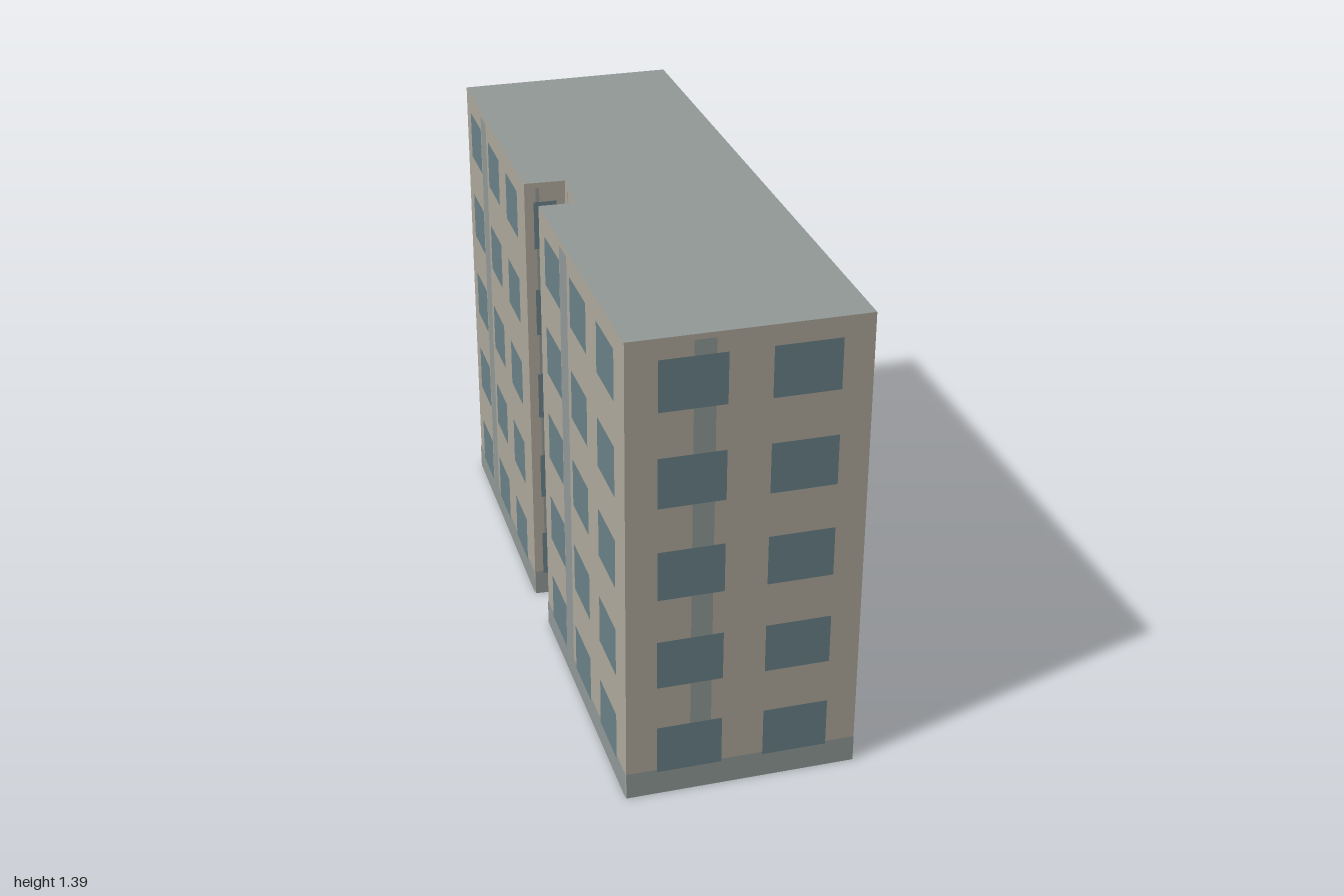
import * as THREE from 'three';

const HEIGHT = 1.39;
const BASE_H = 0.08;
const FLOORS = 5;
const FLOOR_PITCH = 0.278;

const wallMat = new THREE.MeshStandardMaterial({ color: 0xb0aa9e, side: THREE.DoubleSide });
const trimMat = new THREE.MeshStandardMaterial({ color: 0x929a98 });
const roofMat = new THREE.MeshStandardMaterial({ color: 0x929a98, side: THREE.DoubleSide });
const glassMat = new THREE.MeshStandardMaterial({ color: 0x6a8288 });

// Footprint corners (x, z); each wall runs from one corner to the next,
// with its window centres, window width and strip width as fractions of its length
const WALLS = [
  { from: [-0.755, -0.685], name: 'frontWallLeftBay', windows: [0.185, 0.5, 0.805], width: 0.185, strip: 0.09 },
  { from: [-0.347, 0.065], name: 'notchWallRear', windows: [0.5], width: 0.57, strip: 0.09 },
  { from: [-0.24, 0.013], name: 'notchWallInner', windows: [0.5], width: 0.57, strip: 0.09 },
  { from: [-0.167, 0.165], name: 'notchWallFront', windows: [0.5], width: 0.57, strip: 0.09 },
  { from: [-0.262, 0.213], name: 'frontWallRightBay', windows: [0.185, 0.5, 0.81], width: 0.19, strip: 0.09 },
  { from: [0.175, 0.997], name: 'endWallFront', windows: [0.27, 0.73], width: 0.28, strip: 0.09 },
  { from: [0.752, 0.682], name: 'longWall', windows: [0.177, 0.5, 0.823], width: 0.2, strip: 0.056 },
  { from: [-0.18, -1.0], name: 'endWallBack', windows: [0.27, 0.73], width: 0.28, strip: 0.09 },
];

// Flat panel centred at (x, y), lifted off the wall by depth
function panel(name, w, h, x, y, depth, material) {
  const mesh = new THREE.Mesh(new THREE.PlaneGeometry(w, h), material);
  mesh.name = name;
  mesh.position.set(x, y, depth);
  return mesh;
}

// One facade: local x runs along the wall, local z points outward
function buildWall(spec, to) {
  const dx = to[0] - spec.from[0], dz = to[1] - spec.from[1];
  const len = Math.hypot(dx, dz);
  const wall = new THREE.Group();
  wall.name = spec.name;
  wall.position.set(spec.from[0], 0, spec.from[1]);
  wall.rotation.y = Math.atan2(-dz, dx);

  wall.add(panel('wallSurface', len, HEIGHT, len / 2, HEIGHT / 2, 0, wallMat));
  wall.add(panel('baseBand', len, BASE_H, len / 2, BASE_H / 2, 0.002, trimMat));
  const stripH = 1.375 - BASE_H;
  wall.add(panel('verticalStrip', spec.strip * len, stripH, 0.318 * len, BASE_H + stripH / 2, 0.002, trimMat));

  for (let floor = 0; floor < FLOORS; floor++) {
    for (const c of spec.windows) {
      wall.add(panel('window', spec.width * len, 0.147, c * len, 0.147 + floor * FLOOR_PITCH, 0.004, glassMat));
    }
  }
  return wall;
}

export function createModel() {
  const building = new THREE.Group();
  building.name = 'apartmentBlock';

  WALLS.forEach((spec, i) => building.add(buildWall(spec, WALLS[(i + 1) % WALLS.length].from)));

  // Flat roof over the notched footprint; the underside of the shell is open
  const outline = new THREE.Shape(WALLS.map(({ from: [x, z] }) => new THREE.Vector2(x, -z)));
  const roof = new THREE.Mesh(new THREE.ShapeGeometry(outline).rotateX(-Math.PI / 2), roofMat);
  roof.name = 'roof';
  roof.position.y = HEIGHT;
  building.add(roof);

  return building;
}
